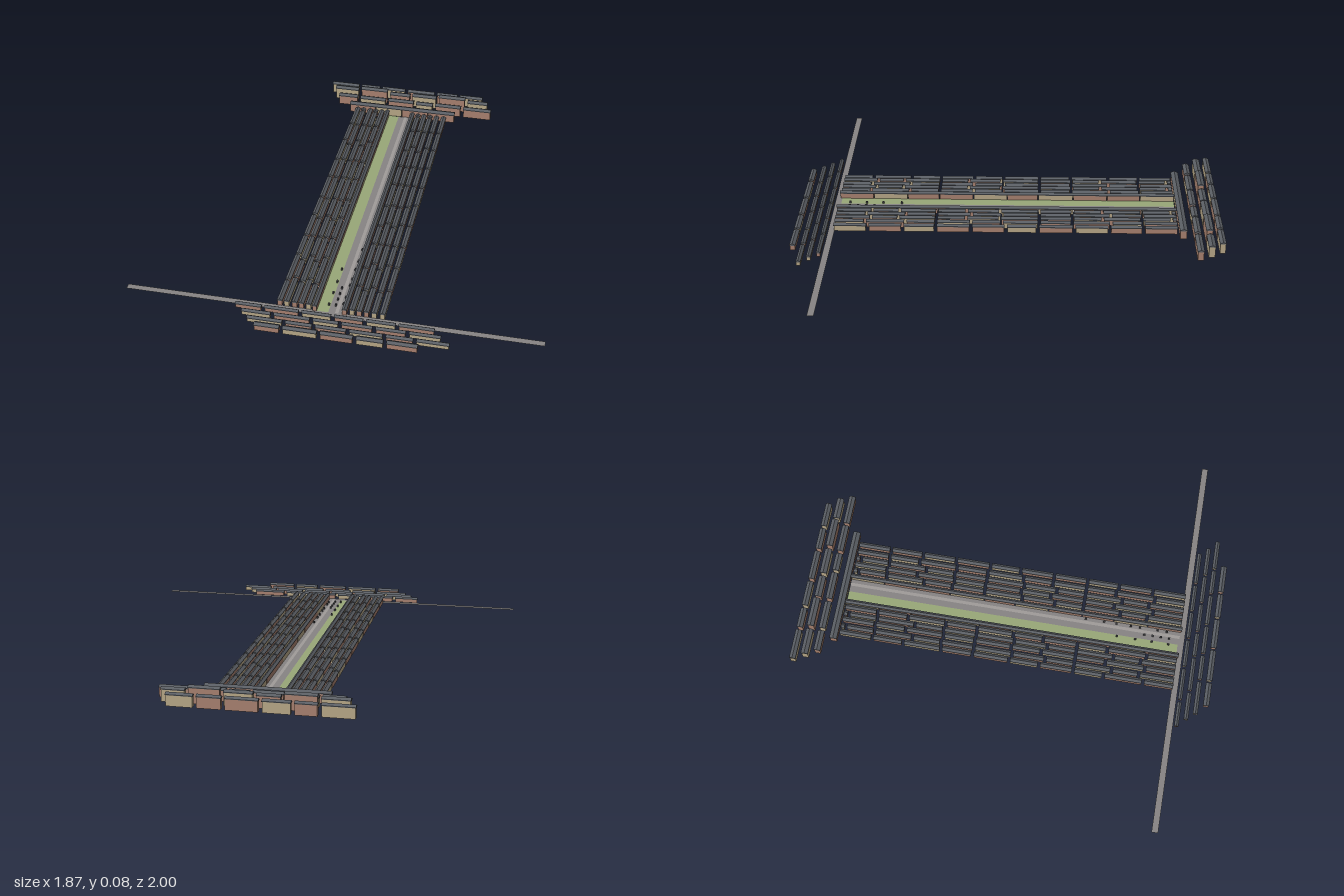
import * as THREE from 'three';

const mat = (color, extra = {}) => new THREE.MeshStandardMaterial({ color, flatShading: true, ...extra });
const brick = mat(0xa98270), stone = mat(0xb8a888), slate = mat(0x5a5e64);
const tarmac = mat(0x878484, { side: THREE.DoubleSide });
const paving = mat(0xa09c9a, { side: THREE.DoubleSide });
const grass = mat(0x98a878, { side: THREE.DoubleSide });
const dark = mat(0x45464a);

// One block of houses running along x, with a shallow gabled roof
function houseBlock(length, depth, height, wallMat) {
  const g = new THREE.Group();
  g.name = 'houseBlock';
  const rise = 0.008, eave = height - rise - 0.003;
  const walls = new THREE.Mesh(new THREE.BoxGeometry(length - 0.004, eave, depth * 0.84), wallMat);
  walls.position.y = eave / 2;
  walls.name = 'walls';
  const h = depth / 2;
  const profile = new THREE.Shape();
  profile.moveTo(-h, 0);
  profile.lineTo(h, 0);
  profile.lineTo(h, 0.003);
  profile.lineTo(0, rise + 0.003);
  profile.lineTo(-h, 0.003);
  const roofGeo = new THREE.ExtrudeGeometry(profile, { depth: length, bevelEnabled: false });
  roofGeo.translate(0, 0, -length / 2).rotateY(Math.PI / 2);
  const roof = new THREE.Mesh(roofGeo, slate);
  roof.position.y = eave;
  roof.name = 'roof';
  g.add(walls, roof);
  return g;
}

// Terrace: consecutive blocks between break points, gap left after each break
function terrace(name, breaks, gap, depth, heights, seed) {
  const g = new THREE.Group();
  g.name = name;
  for (let i = 0; i < breaks.length - 1; i++) {
    const length = breaks[i + 1] - breaks[i] - gap;
    const wall = (i * 3 + seed) % 5 < 2 ? stone : brick;
    const b = houseBlock(length, depth, heights[i % heights.length], wall);
    b.position.x = (breaks[i] + breaks[i + 1]) / 2;
    g.add(b);
  }
  return g;
}

function strip(name, x0, x1, z0, z1, y, material) {
  const m = new THREE.Mesh(new THREE.PlaneGeometry(x1 - x0, z1 - z0).rotateX(-Math.PI / 2), material);
  m.position.set((x0 + x1) / 2, y, (z0 + z1) / 2);
  m.name = name;
  return m;
}

export function createModel() {
  const model = new THREE.Group();
  model.name = 'terracedStreets';

  // Terraces across both ends: z, depth, heights, breaks along x
  const cross = [
    [-0.985, 0.03, [0.06], [-0.42, -0.26, -0.147, -0.008, 0.152, 0.275, 0.41]],
    [-0.932, 0.034, [0.07, 0.08, 0.065, 0.07, 0.08, 0.065], [-0.39, -0.25, -0.093, 0.028, 0.17, 0.325, 0.445]],
    [-0.879, 0.032, [0.058, 0.055], [-0.36, -0.245, -0.093, 0.057, 0.16, 0.31, 0.47]],
    [-0.817, 0.036, [0.053], [-0.28, -0.14, 0, 0.14, 0.28]],
    [0.86, 0.02, [0.028], [-0.43, -0.297, -0.13, 0.015, 0.157, 0.3, 0.47]],
    [0.9, 0.021, [0.028], [-0.39, -0.245, -0.07, 0.057, 0.207, 0.353, 0.505]],
    [0.94, 0.022, [0.028], [-0.355, -0.183, -0.05, 0.1, 0.26, 0.392, 0.548]],
    [0.985, 0.028, [0.036], [-0.31, -0.183, -0.018, 0.14, 0.272, 0.42]],
  ];
  cross.forEach(([z, depth, heights, breaks], i) => {
    const t = terrace(z < 0 ? 'backTerrace' : 'frontTerrace', breaks, i === 3 ? 0 : 0.014, depth, heights, i);
    t.position.z = z;
    model.add(t);
  });

  // Long terraces flanking the central street
  const even = [-0.8, -0.635, -0.485, -0.3, -0.147, 0.03, 0.175, 0.34, 0.485, 0.675, 0.825];
  const shifted = [-0.8, -0.77, -0.63, -0.445, -0.305, -0.145, 0.04, 0.2, 0.34, 0.52, 0.65, 0.825];
  const outer = [-0.8, -0.635, -0.475, -0.31, -0.14, 0.01, 0.175, 0.34, 0.495, 0.66, 0.825];
  const columns = [
    [-0.234, even], [-0.203, shifted], [-0.167, even], [-0.137, shifted], [-0.104, even],
    [0.09, shifted], [0.122, even], [0.154, shifted], [0.189, even], [0.226, outer],
  ];
  columns.forEach(([x, breaks], i) => {
    const t = terrace('sideTerrace', breaks, 0.012, 0.025, [0.038], i);
    t.rotation.y = -Math.PI / 2;
    t.position.x = x;
    model.add(t);
  });
  // Unbroken inner terraces facing the street
  for (const x of [-0.076, 0.058]) {
    const t = terrace('innerTerrace', outer, 0, 0.022, [0.038], 1);
    t.rotation.y = -Math.PI / 2;
    t.position.x = x;
    model.add(t);
  }

  // Green, carriageway, pavements and the cross road
  model.add(
    strip('green', -0.07, -0.015, -0.8, 0.82, 0.001, grass),
    strip('street', -0.015, 0.05, -0.8, 0.82, 0.001, tarmac),
    strip('pavement', 0.015, 0.03, -0.8, 0.82, 0.002, paving),
    strip('crossRoad', -0.935, 0.935, 0.815, 0.845, 0.001, tarmac),
  );

  // Small stalls and posts along the street
  const rows = [
    [-0.022, [0.52, 0.61, 0.69, 0.77]],
    [0.008, [0.65, 0.69, 0.73, 0.77]],
    [0.04, [0.36, 0.45, 0.51, 0.58, 0.625, 0.71, 0.755]],
  ];
  for (const [x, zs] of rows) {
    for (const z of zs) {
      const stall = new THREE.Mesh(new THREE.BoxGeometry(0.007, 0.01, 0.01), dark);
      stall.position.set(x, 0.006, z);
      stall.name = 'streetStall';
      model.add(stall);
    }
  }
  return model;
}
